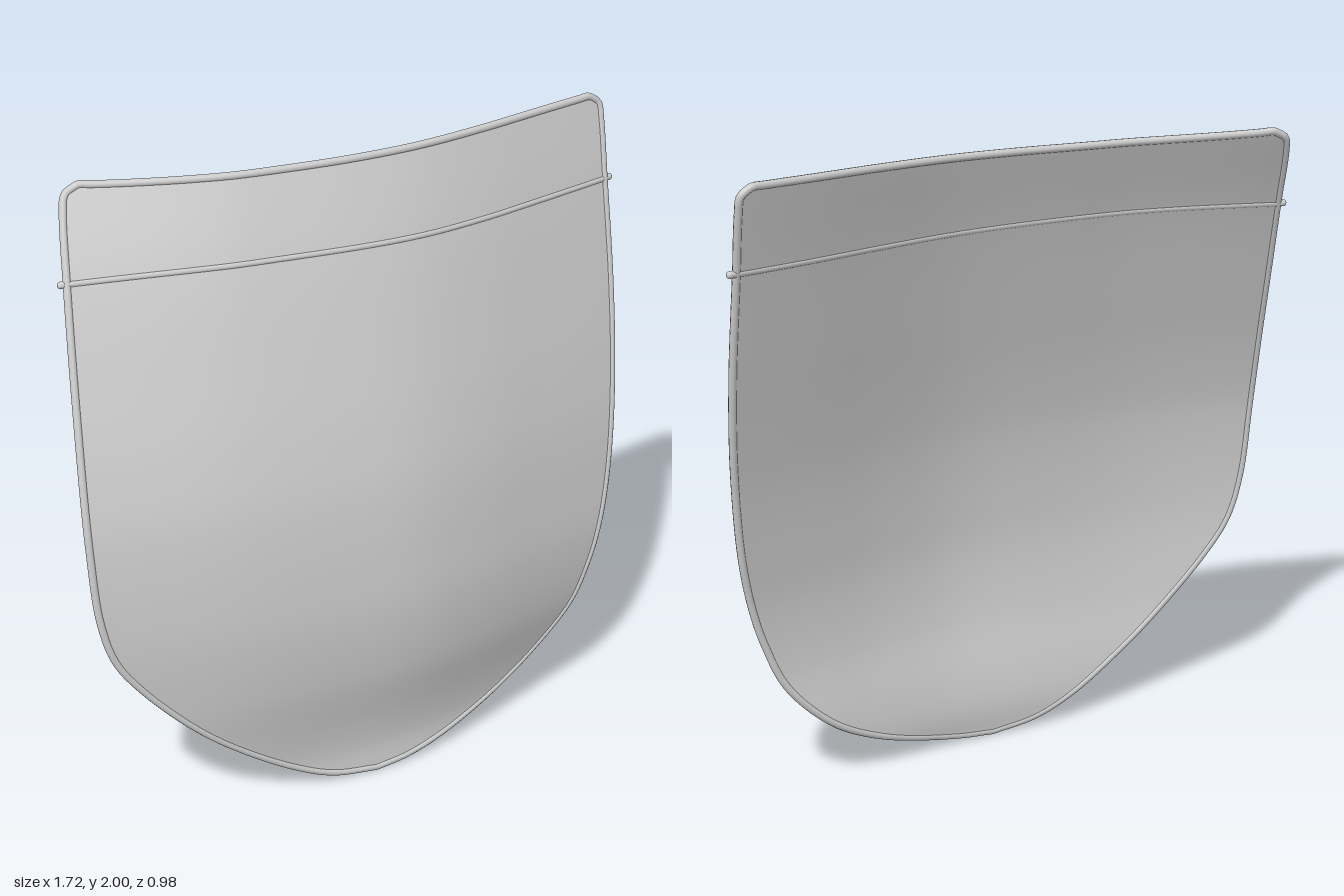
import * as THREE from 'three';

// Smooth interpolation through [position, value] pairs
function smooth(table) {
  const n = table.length;
  const slope = (i) => {
    const a = table[Math.max(i - 1, 0)], b = table[Math.min(i + 1, n - 1)];
    return (b[1] - a[1]) / (b[0] - a[0]);
  };
  return (x) => {
    let i = 0;
    while (i < n - 2 && x > table[i + 1][0]) i++;
    const [x0, y0] = table[i], [x1, y1] = table[i + 1];
    const h = x1 - x0, t = THREE.MathUtils.clamp((x - x0) / h, 0, 1);
    const t2 = t * t, t3 = t2 * t;
    return y0 * (2 * t3 - 3 * t2 + 1) + y1 * (3 * t2 - 2 * t3)
      + h * (slope(i) * (t3 - 2 * t2 + t) + slope(i + 1) * (t3 - t2));
  };
}

// Depth along the top edge and at the fullest part of the belly
const topDepth = smooth([[-0.86, 0.12], [-0.4, 0.06], [-0.2, 0.01], [0, -0.05], [0.2, -0.13],
  [0.4, -0.24], [0.6, -0.365], [0.86, -0.525]]);
const bellyDepth = smooth([[-0.86, 0.497], [-0.4, 0.42], [0, 0.3], [0.2, 0.22], [0.4, 0.1],
  [0.6, -0.045], [0.86, -0.235]]);
// How far each height bulges from top depth to belly depth, at either side
const bulgeRight = smooth([[0, 0.88], [0.1, 0.88], [0.2, 0.9], [0.4, 0.95], [0.7, 1], [1, 0.95],
  [1.2, 0.83], [1.4, 0.66], [1.74, 0.33], [2, 0]]);
const bulgeLeft = smooth([[0, 0.65], [0.1, 0.62], [0.2, 0.68], [0.4, 0.89], [0.6, 0.96], [0.8, 0.91],
  [1, 0.82], [1.2, 0.68], [1.4, 0.52], [1.74, 0.24], [2, 0]]);

function depth(x, y) {
  const bulge = THREE.MathUtils.lerp(bulgeRight(y), bulgeLeft(y), (x + 0.85) / 1.7);
  return THREE.MathUtils.lerp(topDepth(x), bellyDepth(x), bulge);
}

// Point on the curved sheet, moved along its normal
function sheetPoint(x, y, offset = 0) {
  const e = 0.004;
  const normal = new THREE.Vector3(
    (depth(x - e, y) - depth(x + e, y)) / (2 * e),
    (depth(x, y - e) - depth(x, y + e)) / (2 * e), 1).normalize();
  return new THREE.Vector3(x, y, depth(x, y)).addScaledVector(normal, offset);
}

// Outline sides, both from the bottom tip to the top corners
const side = (points) => new THREE.CatmullRomCurve3(
  points.map(([x, y]) => new THREE.Vector3(x, y, 0)));
const rightSide = side([[0.05, 0.012], [-0.09, 0.035], [-0.21, 0.09], [-0.36, 0.195], [-0.5, 0.315],
  [-0.67, 0.5], [-0.75, 0.62], [-0.79, 0.76], [-0.812, 1], [-0.83, 1.4], [-0.84, 1.74],
  [-0.842, 1.92], [-0.835, 1.965], [-0.795, 1.988]]);
const leftSide = side([[0.05, 0.012], [0.16, 0.025], [0.32, 0.07], [0.46, 0.133], [0.58, 0.215],
  [0.71, 0.36], [0.77, 0.5], [0.803, 0.62], [0.83, 0.8], [0.843, 1.1], [0.836, 1.4],
  [0.813, 1.74], [0.802, 1.91], [0.793, 1.965], [0.76, 1.988]]);

const ROWS = 120, COLS = 60;
const rows = [];
for (let j = 0; j <= ROWS; j++) {
  const a = rightSide.getPointAt(j / ROWS), b = leftSide.getPointAt(j / ROWS);
  const row = [];
  for (let i = 0; i <= COLS; i++) {
    const p = a.clone().lerp(b, i / COLS);
    // slight sag of the top edge
    p.y -= 0.013 * Math.sin(Math.PI * Math.pow(i / COLS, 0.7)) * THREE.MathUtils.smoothstep(p.y, 1.75, 2);
    row.push(p);
  }
  rows.push(row);
}

// One face of the cloth, facing front or back
function sheet(offset, facesFront) {
  const position = [], index = [], w = COLS + 1;
  rows.forEach((row) => row.forEach((p) => position.push(...sheetPoint(p.x, p.y, offset))));
  for (let j = 0; j < ROWS; j++) {
    for (let i = 0; i < COLS; i++) {
      const a = j * w + i, b = a + 1, c = b + w, d = a + w;
      if (facesFront) index.push(a, b, c, a, c, d);
      else index.push(a, c, b, a, d, c);
    }
  }
  const geometry = new THREE.BufferGeometry();
  geometry.setAttribute('position', new THREE.Float32BufferAttribute(position, 3));
  geometry.setIndex(index);
  geometry.computeVertexNormals();
  return geometry;
}

function cord(points, radius, closed, segments) {
  const curve = new THREE.CatmullRomCurve3(points, closed);
  curve.arcLengthDivisions = 1200;
  return new THREE.TubeGeometry(curve, segments, radius, 10, closed);
}

export function createModel() {
  const group = new THREE.Group();
  const material = new THREE.MeshStandardMaterial({ color: 0xcccccc });
  const add = (name, geometry) => {
    const mesh = new THREE.Mesh(geometry, material);
    mesh.name = name;
    group.add(mesh);
    return mesh;
  };

  // Cloth panel
  add('frontPanel', sheet(0.007, true));
  add('backPanel', sheet(-0.007, false));

  // Rolled edge around the whole outline
  const loop = [
    ...rows.map((row) => row[0]),
    ...rows[ROWS].slice(1, COLS),
    ...rows.map((row) => row[COLS]).reverse().slice(0, ROWS),
  ].map((p) => sheetPoint(p.x, p.y, 0.001));
  add('edgePiping', cord(loop, 0.012, true, 500));

  // Hem seam below the top edge, poking out a little at both ends
  const hem = [];
  for (let i = 0; i <= 40; i++) {
    const x = THREE.MathUtils.lerp(-0.857, 0.832, i / 40);
    hem.push(sheetPoint(x, 1.735 - 0.006 * Math.sin(x * 3.4 + 3.1 + Math.PI), 0));
  }
  add('hemSeam', cord(hem, 0.011, false, 120));
  for (const end of [hem[0], hem[40]]) {
    add('hemSeamEnd', new THREE.SphereGeometry(0.011, 12, 8)).position.copy(end);
  }
  return group;
}
